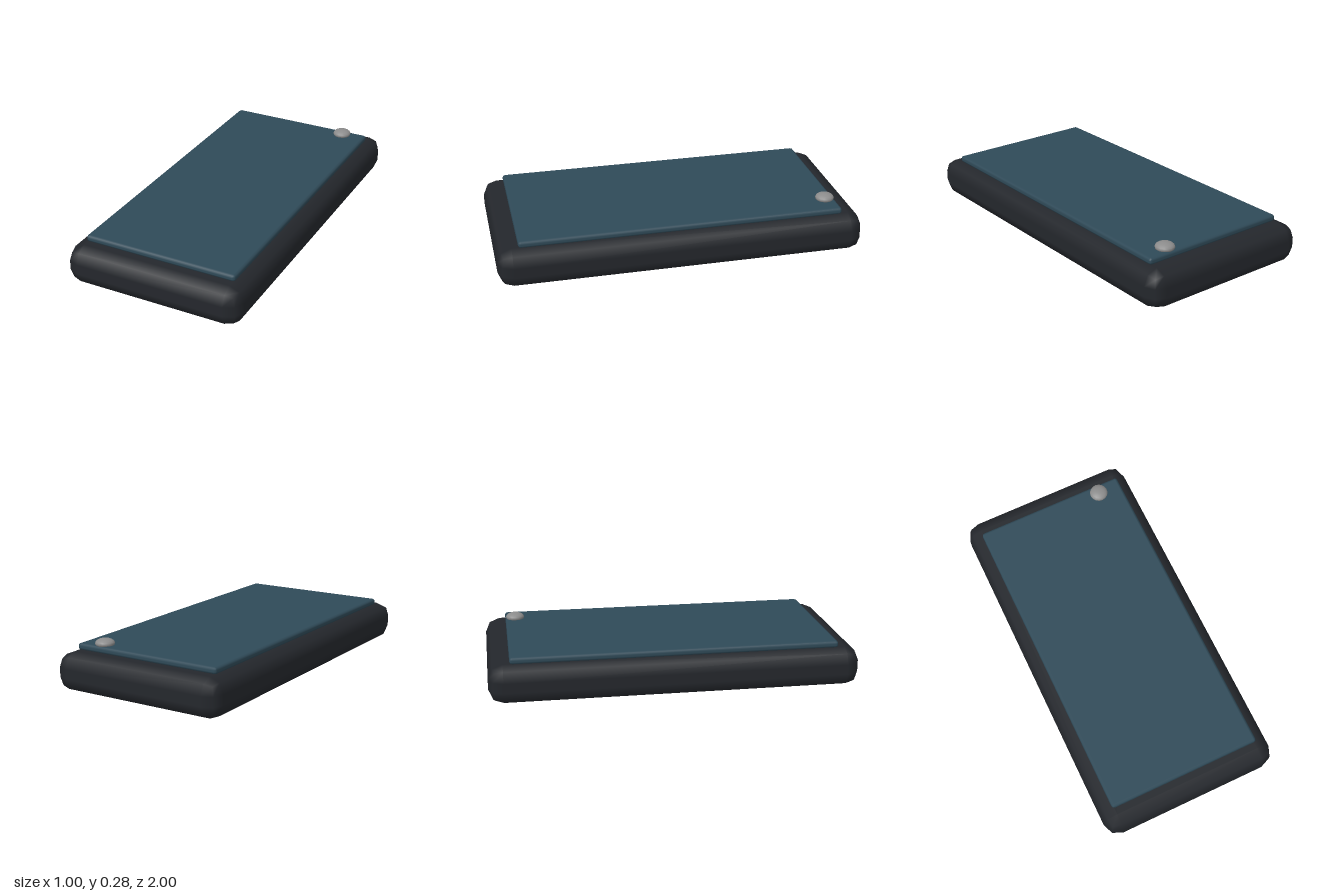
import * as THREE from 'three';
import { RoundedBoxGeometry } from 'three/addons/geometries/RoundedBoxGeometry.js';

function part(name, geometry, color, x, y, z) {
  const mesh = new THREE.Mesh(geometry, new THREE.MeshStandardMaterial({ color }));
  mesh.name = name;
  mesh.position.set(x, y, z);
  return mesh;
}

export function createModel() {
  const group = new THREE.Group();
  group.name = 'handheldDevice';

  // Chunky case with two-step bevelled edges
  group.add(part('case', new RoundedBoxGeometry(1, 0.213, 2, 1, 0.08), 0x24272c, 0, 0.1065, 0));

  // Raised screen slab
  group.add(part('screen', new RoundedBoxGeometry(0.862, 0.037, 1.77, 1, 0.015), 0x2f4a58, 0, 0.2285, 0));

  // Flattened dome button at the back left corner of the screen
  const button = part('button', new THREE.SphereGeometry(0.052, 16, 10), 0x8c8c8c, 0.292, 0.255, -0.83);
  button.scale.y = 0.5;
  group.add(button);

  return group;
}
